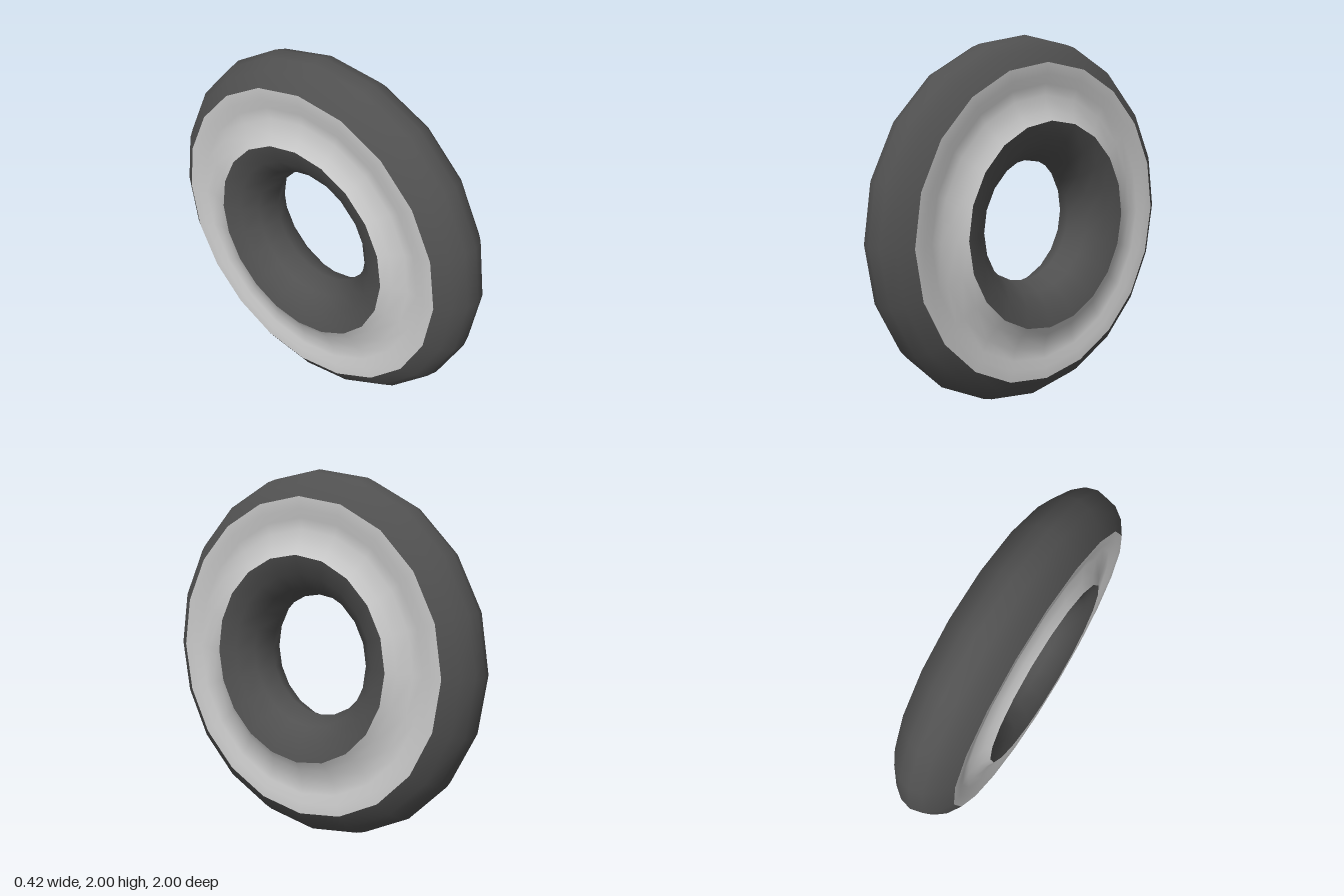
import * as THREE from 'three';

const SIDES = 20;

// Revolve a [radius, x] profile around the x axis
function ring(name, profile, material) {
  const points = profile.map(([r, x]) => new THREE.Vector2(r, x));
  const geometry = new THREE.LatheGeometry(points, SIDES);
  geometry.rotateZ(-Math.PI / 2);
  const mesh = new THREE.Mesh(geometry, material);
  mesh.name = name;
  return mesh;
}

// Complete a half profile (side edge to middle) with its mirror image
const mirrored = (half) => [...half, ...half.slice(0, -1).reverse().map(([r, x]) => [r, -x])];

export function createModel() {
  const rubber = new THREE.MeshStandardMaterial({ color: 0x505050 });
  const pale = new THREE.MeshStandardMaterial({ color: 0xcccccc });

  const tyre = new THREE.Group();
  tyre.name = 'tyre';
  tyre.position.y = 1;

  // Rounded outer tread
  tyre.add(ring('tread', mirrored([[0.86, -0.18], [0.935, -0.13], [0.983, -0.067], [1, 0]]), rubber));

  // Rounded inner bore
  tyre.add(ring('innerBore', mirrored([[0.56, 0.21], [0.46, 0.178], [0.38, 0.108], [0.335, 0]]), rubber));

  // Pale side walls with a shallow groove and a raised inner lip
  const wall = [[0.86, 0.18], [0.8, 0.177], [0.75, 0.162], [0.69, 0.157], [0.61, 0.18], [0.56, 0.21]];
  tyre.add(ring('leftSideWall', wall, pale));
  tyre.add(ring('rightSideWall', wall.map(([r, x]) => [r, -x]).reverse(), pale));

  const model = new THREE.Group();
  model.name = 'ringTyre';
  model.add(tyre);
  return model;
}
